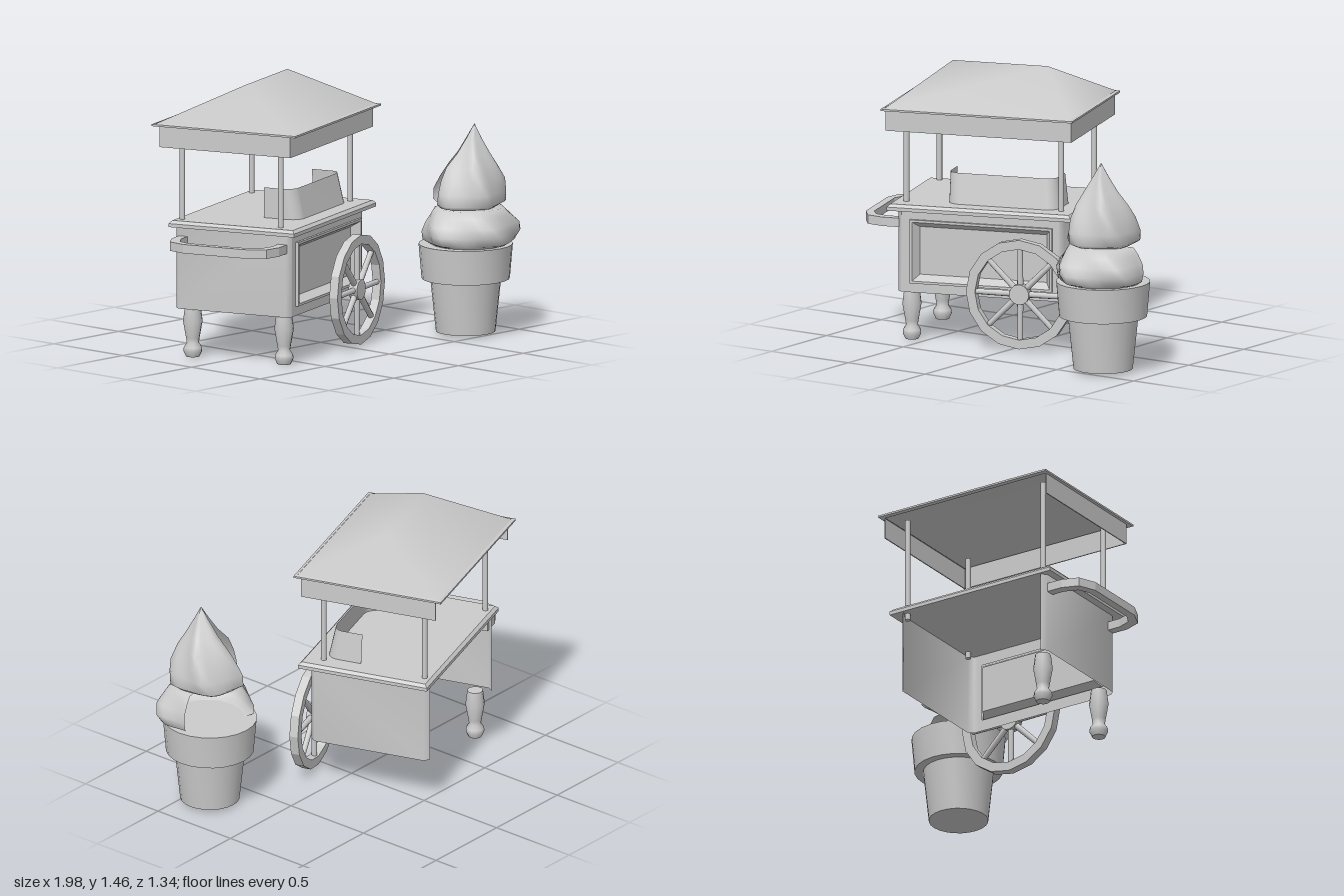
import * as THREE from 'three';
import { toCreasedNormals } from 'three/addons/utils/BufferGeometryUtils.js';

const material = new THREE.MeshStandardMaterial({ color: 0xcccccc, side: THREE.DoubleSide });

function add(parent, name, geometry, x = 0, y = 0, z = 0) {
  const mesh = new THREE.Mesh(geometry, material);
  mesh.name = name;
  mesh.position.set(x, y, z);
  parent.add(mesh);
  return mesh;
}

function surface(points, index) {
  const geometry = new THREE.BufferGeometry();
  geometry.setAttribute('position', new THREE.Float32BufferAttribute(points.flat(), 3));
  geometry.setIndex(index);
  geometry.computeVertexNormals();
  return geometry;
}

// Surface through rows of points; wrap closes every row into a ring
function skin(rows, wrap = false) {
  const n = rows[0].length, index = [];
  for (let i = 0; i < rows.length - 1; i++) {
    for (let j = 0; j < (wrap ? n : n - 1); j++) {
      const a = i * n + j, b = i * n + (j + 1) % n;
      index.push(a, b, a + n, b, b + n, a + n);
    }
  }
  return surface(rows.flat(), index);
}

const sharp = (geometry, angle = 0.6) => toCreasedNormals(geometry, angle);
const ring = (w, d, y) => [[-w, y, d], [w, y, d], [w, y, -d], [-w, y, -d]];
const lathe = (profile, sides) =>
  new THREE.LatheGeometry(profile.map(([r, y]) => new THREE.Vector2(r, y)), sides);
const shapeOf = (points) => new THREE.Shape(points.map(([x, y]) => new THREE.Vector2(x, y)));
const rectangle = (w, y0, y1) => [[-w, y0], [w, y0], [w, y1], [-w, y1]];
const extrude = (shape, depth) => new THREE.ExtrudeGeometry(shape, { depth, bevelEnabled: false });

function createBody(cart) {
  // Side walls with softened edges, open at the back
  const wall = [[0.41, 0.355], [0.435, 0.355], [0.461, 0.33], [0.461, -0.295], [0.435, -0.32]];
  for (const s of [-1, 1]) {
    const rows = [0.262, 0.71].map((y) => wall.map(([x, z]) => [s * x, y, z]));
    add(cart, s > 0 ? 'leftWall' : 'rightWall', sharp(skin(rows), 0.9));
  }
  // Front wall with a recessed panel in a raised moulding
  const front = shapeOf(rectangle(0.435, 0.262, 0.71));
  front.holes.push(shapeOf(rectangle(0.385, 0.325, 0.645)));
  add(cart, 'frontWall', new THREE.ShapeGeometry(front), 0, 0, 0.355);
  const steps = [[0.395, 0.172, 0.355], [0.395, 0.172, 0.37], [0.382, 0.159, 0.37],
    [0.352, 0.129, 0.322], [0.345, 0.122, 0.322]];
  const rings = steps.map(([w, h, z]) => [[-w, -h, z], [w, -h, z], [w, h, z], [-w, h, z]]);
  add(cart, 'panelMoulding', sharp(skin(rings, true), 0.2), 0.008, 0.485, 0);
  add(cart, 'frontPanel', new THREE.PlaneGeometry(0.7, 0.25), 0.008, 0.485, 0.322);

  // Counter slab with a bevelled upper edge
  const slab = [[0.001, 0.001, 0.705], [0.51, 0.367, 0.705], [0.51, 0.367, 0.724],
    [0.495, 0.352, 0.74], [0.001, 0.001, 0.74]].map(([w, d, y]) => ring(w, d, y));
  add(cart, 'counter', sharp(skin(slab, true), 0.2), 0.006, 0, 0.033);

  // Low guard standing on the counter with rounded corners
  const path = [[-0.21, 0.085], [-0.21, 0.22]];
  for (let i = 1; i <= 6; i++) {
    const a = (i / 6) * Math.PI / 2;
    path.push([-0.14 - 0.07 * Math.cos(a), 0.22 + 0.07 * Math.sin(a)]);
  }
  for (let i = 0; i <= 6; i++) {
    const a = (i / 6) * Math.PI / 2;
    path.push([0.335 + 0.07 * Math.sin(a), 0.22 + 0.07 * Math.cos(a)]);
  }
  path.push([0.405, 0.085]);
  const guard = [[0.74, 0], [0.903, 1]].map(([y, t]) =>
    path.map(([x, z]) => [x - (x + 0.21) * 0.03 * t, y, z - (z - 0.085) * 0.16 * t]));
  add(cart, 'counterGuard', skin(guard));
}

function createRoof(cart) {
  for (const x of [-0.43, 0.43]) {
    for (const z of [-0.288, 0.288]) {
      add(cart, 'roofPost', new THREE.CylinderGeometry(0.015, 0.015, 0.58, 10), x, 0.96, z);
    }
  }
  // Softly shaded hipped roof, open underneath
  const corners = [...ring(0.515, 0.403, 1.258), [-0.263, 1.455, 0], [0.263, 1.455, 0]];
  add(cart, 'roof', surface(corners,
    [0, 1, 5, 0, 5, 4, 1, 2, 5, 2, 3, 4, 2, 4, 5, 3, 0, 4]));
  const lip = [ring(0.505, 0.39, 1.246), ring(0.532, 0.42, 1.246),
    ring(0.532, 0.42, 1.256), ring(0.515, 0.403, 1.26)];
  add(cart, 'roofLip', sharp(skin(lip, true), 0.1));
  // Valance on the front and both ends only
  add(cart, 'frontValance', new THREE.BoxGeometry(1.03, 0.117, 0.006), 0, 1.192, 0.38);
  for (const x of [-0.512, 0.512]) {
    add(cart, 'endValance', new THREE.BoxGeometry(0.006, 0.117, 0.766), x, 1.192, 0);
  }
}

function createRunningGear(cart) {
  // Turned legs at the handle end
  const profile = [[0, 0], [0.036, 0], [0.05, 0.03], [0.048, 0.05], [0.032, 0.075],
    [0.036, 0.1], [0.052, 0.19], [0.042, 0.27], [0, 0.27]];
  for (const z of [-0.242, 0.292]) add(cart, 'leg', sharp(lathe(profile, 12), 1.1), -0.398, 0, z);

  // Spoked wheel beside the front panel
  const wheel = new THREE.Group();
  wheel.name = 'wheel';
  wheel.position.set(0.243, 0.305, 0.417);
  cart.add(wheel);
  const rim = lathe([[0.245, -0.024], [0.295, -0.024], [0.295, 0.024], [0.245, 0.024],
    [0.245, -0.024]], 16);
  add(wheel, 'rim', sharp(rim, 0.3)).rotation.x = Math.PI / 2;
  add(wheel, 'hub', new THREE.CylinderGeometry(0.055, 0.055, 0.05, 14)).rotation.x = Math.PI / 2;
  for (let i = 0; i < 8; i++) {
    const a = i * Math.PI / 4;
    const spoke = add(wheel, 'spoke', new THREE.CylinderGeometry(0.015, 0.017, 0.215, 8),
      -Math.sin(a) * 0.15, Math.cos(a) * 0.15);
    spoke.rotation.z = a;
  }

  // Push handle, a flat bar bent around the end of the cart
  const outer = [[-0.445, 0.315], [-0.55, 0.315], [-0.64, 0.282], [-0.681, 0.187]];
  const inner = [[-0.637, 0.178], [-0.607, 0.238], [-0.535, 0.265], [-0.445, 0.265]];
  const mirror = (points) => points.map(([x, y]) => [x, -y]).reverse();
  const outline = [...outer, ...mirror(outer), ...mirror(inner), ...inner];
  const handle = add(cart, 'handle', extrude(shapeOf(outline), 0.048), 0, 0.606, 0.02);
  handle.rotation.x = -Math.PI / 2;
}

// Swirl with peaked, twisting ridges; profile entries are radius, height, ridge depth
function swirl(profile, start, sweep, lean) {
  const count = 24;
  return skin(profile.map(([r, y, ridge], i) => {
    const row = [], t = lean * i / (profile.length - 1);
    for (let j = 0; j <= count; j++) {
      const a = start + sweep * j / count;
      const radius = r * (1 + ridge * (1 - 2 * Math.abs(Math.sin(2.5 * a + i * 0.3))));
      row.push([radius * Math.sin(a) + 0.025 * t, y, radius * Math.cos(a) + 0.045 * t]);
    }
    return row;
  }));
}

function createCone(root) {
  const cone = new THREE.Group();
  cone.name = 'iceCreamCone';
  cone.position.set(0.715, 0, 0.38);
  root.add(cone);
  const cup = [[0, 0.015], [0.158, 0.015], [0.188, 0.3], [0.234, 0.3], [0.25, 0.487], [0, 0.487]];
  add(cone, 'cup', sharp(lathe(cup, 24)));
  // Lower swirl wraps the front and sides of the cup
  const lower = [[0.2, 0.487, 0], [0.245, 0.505, 0.07], [0.262, 0.55, 0.1], [0.248, 0.6, 0.09],
    [0.21, 0.65, 0.05], [0.18, 0.685, 0], [0.12, 0.69, 0]];
  add(cone, 'lowerSwirl', swirl(lower, -2.45, 4.2, 0), 0.01, 0, 0.015);
  // Upper swirl comes to a peak and is open in a narrow gap at the back
  const upper = [[0, 0.69, 0], [0.17, 0.692, 0.06], [0.195, 0.71, 0.08], [0.19, 0.77, 0.1],
    [0.168, 0.84, 0.12], [0.135, 0.91, 0.12], [0.088, 0.98, 0.1], [0.042, 1.06, 0.08], [0, 1.135, 0]];
  add(cone, 'upperSwirl', swirl(upper, -1.85, 5.28, 1), -0.005, 0, 0);
}

export function createModel() {
  const root = new THREE.Group();
  root.name = 'iceCreamStand';
  const cart = new THREE.Group();
  cart.name = 'cart';
  cart.position.set(-0.305, 0, -0.11);
  cart.rotation.y = Math.PI / 10;
  root.add(cart);
  createBody(cart);
  createRoof(cart);
  createRunningGear(cart);
  createCone(root);
  return root;
}
